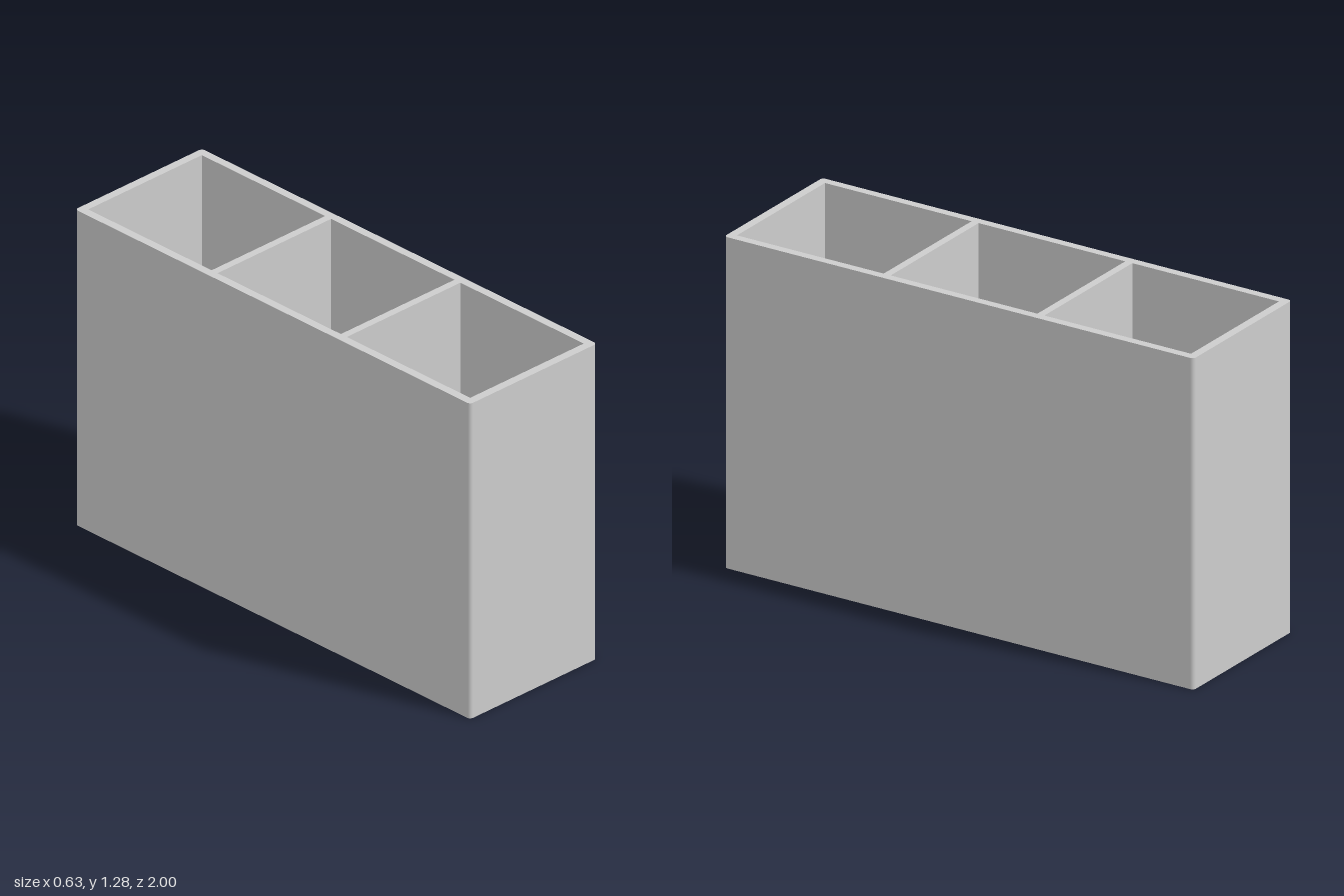
import * as THREE from 'three';

const W = 0.632, H = 1.28, L = 2;      // overall width, height, length
const WALL = 0.033, DIVIDER = 0.03, FLOOR = 0.033;
const EDGE = 0.015, COVE = 0.08;       // outer corner radius, pocket floor fillet
const POCKETS = 3;

// Grid surface from rows of [x, y, z, nx, ny, nz]
function patch(rows) {
  const pos = [], nor = [], idx = [], n = rows[0].length;
  rows.forEach((row, j) => row.forEach((v, i) => {
    pos.push(v[0], v[1], v[2]);
    nor.push(v[3], v[4], v[5]);
    if (i && j) {
      const a = (j - 1) * n + i - 1, b = a + 1, c = a + n, d = c + 1;
      idx.push(a, b, d, a, d, c);
    }
  }));
  const g = new THREE.BufferGeometry();
  g.setAttribute('position', new THREE.Float32BufferAttribute(pos, 3));
  g.setAttribute('normal', new THREE.Float32BufferAttribute(nor, 3));
  g.setIndex(idx);
  return g;
}

// Rounded rectangle outline as [x, z, nx, nz]
function outline() {
  const pts = [], steps = 6;
  [[1, 1], [-1, 1], [-1, -1], [1, -1]].forEach(([sx, sz], q) => {
    for (let i = 0; i <= steps; i++) {
      const a = (q + i / steps) * Math.PI / 2, c = Math.cos(a), s = Math.sin(a);
      pts.push([sx * (W / 2 - EDGE) + c * EDGE, sz * (L / 2 - EDGE) + s * EDGE, c, s]);
    }
  });
  return pts;
}

export function createModel() {
  const model = new THREE.Group();
  model.name = 'compartmentHolder';
  const grey = new THREE.MeshStandardMaterial({ color: 0xcccccc });
  grey.name = 'light grey';
  const add = (geo, name, parent = model) => {
    const mesh = new THREE.Mesh(geo, grey);
    mesh.name = name;
    parent.add(mesh);
  };

  // Outer walls with softly rounded vertical edges
  const pts = outline();
  const ring = [...pts, pts[0]];
  add(patch([H, 0].map(y => ring.map(([x, z, nx, nz]) => [x, y, z, nx, 0, nz]))), 'outerWalls');

  // Underside
  const flat = () => new THREE.Shape(pts.map(([x, z]) => new THREE.Vector2(x, z)));
  add(new THREE.ShapeGeometry(flat()).rotateX(Math.PI / 2), 'underside');

  // Top rim with pocket openings
  const hx = W / 2 - WALL;
  const len = (L - 2 * WALL - DIVIDER * (POCKETS - 1)) / POCKETS, hz = len / 2;
  const centres = Array.from({ length: POCKETS }, (_, i) => (i - (POCKETS - 1) / 2) * (len + DIVIDER));
  const rim = flat();
  for (const c of centres) {
    rim.holes.push(new THREE.Path([[-hx, c - hz], [-hx, c + hz], [hx, c + hz], [hx, c - hz]]
      .map(([x, z]) => new THREE.Vector2(x, z))));
  }
  add(new THREE.ShapeGeometry(rim).rotateX(-Math.PI / 2).translate(0, H, 0), 'topRim');

  // Pocket side profile [inset, y, inward normal, up normal]: straight wall, then a concave fillet
  const profile = [[0, H, 1, 0]];
  for (let i = 0; i <= 10; i++) {
    const t = i / 10 * Math.PI / 2, c = Math.cos(t), s = Math.sin(t);
    profile.push([COVE * (1 - c), FLOOR + COVE * (1 - s), c, s]);
  }
  // Mitred pocket wall at distance `out` along +z, facing -z
  const side = (out, half) => patch(profile.map(([d, y, n, up]) =>
    [d - half, half - d].map(x => [x, y, out - d, 0, up, -n])));

  centres.forEach((c, i) => {
    const pocket = new THREE.Group();
    pocket.name = 'pocket' + (i + 1);
    pocket.position.z = c;
    for (let k = 0; k < 4; k++) {
      const geo = k % 2 ? side(hx, hz) : side(hz, hx);
      add(geo.rotateY(k * Math.PI / 2), 'pocketWall', pocket);
    }
    const floor = new THREE.PlaneGeometry(2 * (hx - COVE), 2 * (hz - COVE)).rotateX(-Math.PI / 2);
    add(floor.translate(0, FLOOR, 0), 'pocketFloor', pocket);
    model.add(pocket);
  });

  return model;
}
